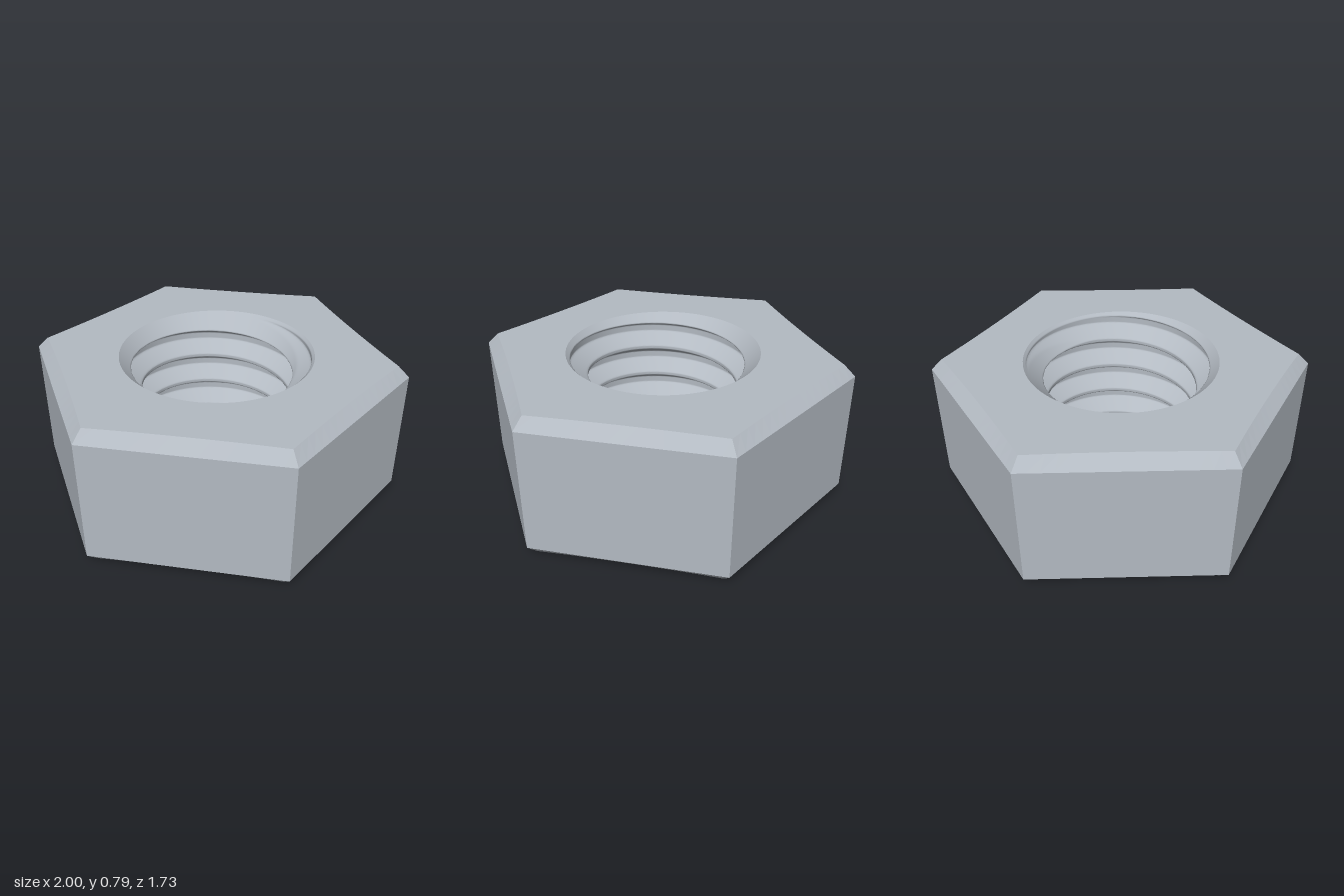
import * as THREE from 'three';
import { mergeVertices } from 'three/addons/utils/BufferGeometryUtils.js';

const HEIGHT = 0.79;
const CHAMFER = 0.06;
const SEGMENTS = 96; // points round each loop, 16 per hexagon side
const PER_SIDE = SEGMENTS / 6;

// Thread and countersink sizes
const RIM = 0.515;
const ROOT = 0.5;
const CREST = 0.405;
const PITCH = 0.172;
const FLANK = 0.577; // rise of a flank per unit of radius

// Joins closed loops of points with quads, unshared so faces stay flat
function loft(loops) {
  const positions = [];
  for (let j = 0; j < loops.length - 1; j++) {
    for (let i = 0; i < SEGMENTS; i++) {
      const n = (i + 1) % SEGMENTS;
      const a = loops[j][i], b = loops[j][n];
      const c = loops[j + 1][i], d = loops[j + 1][n];
      positions.push(...a, ...b, ...d, ...a, ...d, ...c);
    }
  }
  const geometry = new THREE.BufferGeometry();
  geometry.setAttribute('position', new THREE.Float32BufferAttribute(positions, 3));
  return geometry;
}

// Hexagon loop with corners on the x axis; bow pulls the side middles inward
function hexLoop(cornerRadius, y, bow = 0) {
  return Array.from({ length: SEGMENTS }, (_, i) => {
    const side = Math.floor(i / PER_SIDE);
    const t = (2 * (i % PER_SIDE)) / PER_SIDE - 1;
    const along = (t * cornerRadius) / 2;
    const out = cornerRadius * Math.sqrt(0.75) - bow * (1 - t * t);
    const angle = ((side + 0.5) * Math.PI) / 3;
    const x = out * Math.cos(angle) - along * Math.sin(angle);
    const z = -(out * Math.sin(angle) + along * Math.cos(angle));
    return [x, y, z];
  });
}

// Bore radius: a right-handed V thread opened by a cone at each end
function boreRadius(angle, y) {
  const depth = HEIGHT - y;
  const start = 0.055 - PITCH * (angle / (2 * Math.PI) - 0.25);
  const along = THREE.MathUtils.euclideanModulo(depth - start, PITCH);
  const grooveWidth = PITCH - 0.022;
  const cut = Math.min(along, grooveWidth - along) / FLANK;
  const thread = CREST + THREE.MathUtils.clamp(cut, 0, ROOT - CREST);
  return Math.max(thread, RIM - Math.min(depth, y));
}

function boreLoop(y) {
  return Array.from({ length: SEGMENTS }, (_, i) => {
    const angle = (i / SEGMENTS) * Math.PI * 2;
    const r = boreRadius(angle, y);
    return [r * Math.cos(angle), y, -r * Math.sin(angle)];
  });
}

export function createModel() {
  const group = new THREE.Group();
  group.name = 'hexNut';
  const steel = new THREE.MeshStandardMaterial({ color: 0xb3bac2 });
  steel.name = 'steelGrey';

  // Six-sided body with chamfered rims and both end faces
  const bodyGeometry = loft([
    boreLoop(0),
    hexLoop(0.94, 0, 0.009),
    hexLoop(1, CHAMFER),
    hexLoop(1, HEIGHT - CHAMFER),
    hexLoop(0.94, HEIGHT, 0.009),
    boreLoop(HEIGHT),
  ]);
  bodyGeometry.computeVertexNormals();
  const body = new THREE.Mesh(bodyGeometry, steel);
  body.name = 'hexBody';
  group.add(body);

  // Threaded bore, lofted downward so that it faces the axis
  const rows = 200;
  const loops = Array.from({ length: rows + 1 }, (_, j) => boreLoop(HEIGHT * (1 - j / rows)));
  const boreGeometry = mergeVertices(loft(loops), 1e-5);
  boreGeometry.computeVertexNormals();
  const bore = new THREE.Mesh(boreGeometry, steel);
  bore.name = 'threadedBore';
  group.add(bore);

  return group;
}
